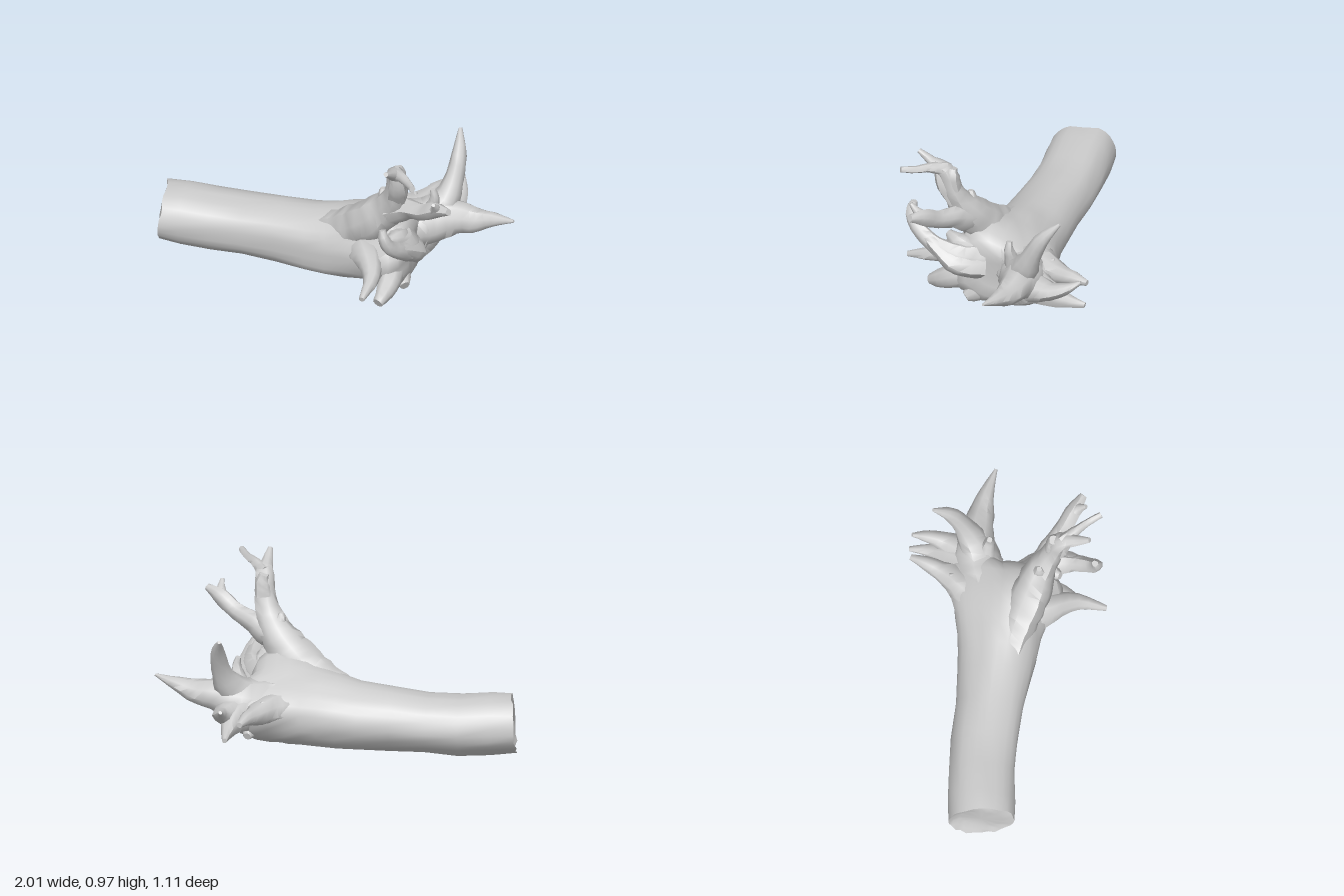
import * as THREE from 'three';
import { toCreasedNormals } from 'three/addons/utils/BufferGeometryUtils.js';

const material = new THREE.MeshStandardMaterial({ color: 0xcccccc });
const V = (x, y, z) => new THREE.Vector3(x, y, z);

// Small seeded noise in -1..1
function noise(seed) {
  let s = seed * 7919 + 17;
  return () => {
    s = (s * 16807) % 2147483647;
    return (s / 2147483647) * 2 - 1;
  };
}

// Skin over rings of points, closed at both ends with a centre point
function loft(name, rings, start, end) {
  const n = rings[0].length, pos = [], idx = [];
  rings.forEach(r => r.forEach(p => pos.push(p.x, p.y, p.z)));
  pos.push(start.x, start.y, start.z, end.x, end.y, end.z);
  const s = rings.length * n, last = s - n;
  for (let j = 0; j < n; j++) {
    const k = (j + 1) % n;
    for (let i = 0; i < rings.length - 1; i++) {
      const a = i * n + j, b = i * n + k;
      idx.push(a, b, a + n, b, b + n, a + n);
    }
    idx.push(s, k, j, s + 1, last + j, last + k);
  }
  const g = new THREE.BufferGeometry();
  g.setAttribute('position', new THREE.Float32BufferAttribute(pos, 3));
  g.setIndex(idx);
  const mesh = new THREE.Mesh(toCreasedNormals(g, 0.95), material);
  mesh.name = name;
  return mesh;
}

// Tapered, slightly gnarled root through points [x, y, z, radius]
function root(name, pts, seed) {
  const curve = new THREE.CatmullRomCurve3(pts.map(p => V(p[0], p[1], p[2])));
  const steps = (pts.length - 1) * 3, sides = 9;
  const frames = curve.computeFrenetFrames(steps, false);
  const rnd = noise(seed);
  const lobes = Array.from({ length: sides }, () => 1 + 0.1 * rnd());
  const rings = [];
  for (let i = 0; i <= steps; i++) {
    const u = i / steps, f = curve.getUtoTmapping(u) * (pts.length - 1);
    const k = Math.min(Math.floor(f), pts.length - 2);
    const r = THREE.MathUtils.lerp(pts[k][3], pts[k + 1][3], f - k);
    const c = curve.getPointAt(u);
    rings.push(lobes.map((l, j) => {
      const a = j / sides * Math.PI * 2, q = r * l * (1 + 0.06 * rnd());
      return c.clone().addScaledVector(frames.normals[i], Math.cos(a) * q)
        .addScaledVector(frames.binormals[i], Math.sin(a) * q);
    }));
  }
  return loft(name, rings, curve.getPointAt(0), curve.getPointAt(1));
}

// Swellings where roots leave the trunk: x, angle from up towards the front, amount, length, angular width
const flares = [
  [0.32, 0.5, 0.42, 0.2, 0.4], [0.3, 1.5, 0.2, 0.14, 0.4], [0.46, 1.2, 0.2, 0.1, 0.4],
  [0.4, 2.05, 0.24, 0.12, 0.35], [0.42, 2.65, 0.12, 0.08, 0.3], [0.5, -0.55, 0.15, 0.1, 0.45],
  [0.42, -1.4, 0.2, 0.16, 0.4], [0.05, 2.1, 0.09, 0.35, 0.28], [-0.5, -0.75, 0.05, 0.35, 0.25],
];

function trunk() {
  // Stations: x, bottom, top, back z, front z
  const stations = [
    [-0.96, 0.1, 0.3, -0.16, 0.08], [-0.967, 0.07, 0.335, -0.195, 0.115],
    [-0.975, 0.045, 0.36, -0.22, 0.14], [-0.85, 0.025, 0.365, -0.23, 0.14],
    [-0.68, 0.015, 0.35, -0.235, 0.125], [-0.5, 0.025, 0.35, -0.235, 0.13],
    [-0.3, 0.02, 0.37, -0.225, 0.145], [-0.12, 0.01, 0.385, -0.23, 0.175],
    [0, 0.01, 0.41, -0.235, 0.195], [0.1, 0.015, 0.43, -0.25, 0.205], [0.19, 0.025, 0.44, -0.265, 0.215],
    [0.27, 0.035, 0.45, -0.275, 0.225], [0.34, 0.045, 0.45, -0.28, 0.24], [0.4, 0.055, 0.44, -0.28, 0.24],
    [0.45, 0.075, 0.42, -0.27, 0.21], [0.48, 0.12, 0.38, -0.24, 0.15], [0.475, 0.18, 0.33, -0.18, 0.08],
  ];
  const sides = 28, rnd = noise(5);
  const rings = stations.map(([x, y0, y1, z0, z1], i) =>
    Array.from({ length: sides }, (_, j) => {
      const a = j / sides * Math.PI * 2;
      // Bark ridges along the trunk plus the root flares
      let swell = 1 + 0.025 * Math.sin(3 * a + x * 2) + 0.02 * Math.cos(5 * a - x * 3)
        + (x > 0.25 ? 0.05 : 0.018) * rnd();
      for (const [fx, fa, amount, length, width] of flares) {
        const da = Math.atan2(Math.sin(a - fa), Math.cos(a - fa));
        swell += amount * Math.exp(-(((x - fx) / length) ** 2) - (da / width) ** 2);
      }
      // Slanted, uneven cut at the sawn end; the back reaches further at the root end
      const cut = i < 3 ? (i / 2) * (0.012 * Math.cos(a) + 0.02 * Math.sin(a) + 0.008 * rnd()) : 0;
      const reach = Math.max(0, x - 0.3) * 0.55 * Math.max(0, -Math.sin(a));
      return V(x + cut + reach,
        Math.max(0, (y0 + y1) / 2 + Math.cos(a) * (y1 - y0) / 2 * swell),
        (z0 + z1) / 2 + Math.sin(a) * (z1 - z0) / 2 * swell);
    }));
  return loft('trunk', rings, V(-0.96, 0.2, -0.04), V(0.47, 0.25, -0.03));
}

export function createModel() {
  const group = new THREE.Group();
  group.name = 'fallenTreeTrunk';
  group.add(trunk());

  const roots = {
    // Tall root with its forks
    uprightRoot: [[-0.08, 0.27, 0.03, 0.08], [0.13, 0.36, 0.08, 0.11], [0.27, 0.46, 0.135, 0.12], [0.37, 0.58, 0.18, 0.094],
      [0.42, 0.68, 0.225, 0.068], [0.44, 0.78, 0.262, 0.055], [0.445, 0.87, 0.29, 0.052], [0.44, 0.915, 0.37, 0.03], [0.43, 0.965, 0.45, 0.014]],
    uprightRootStub: [[0.44, 0.77, 0.25, 0.05], [0.45, 0.85, 0.255, 0.042], [0.44, 0.895, 0.25, 0.025]],
    uprightRootRidge: [[0.43, 0.68, 0.24, 0.05], [0.45, 0.8, 0.3, 0.05], [0.45, 0.89, 0.325, 0.03]],
    uprightRootFork: [[0.44, 0.88, 0.3, 0.045], [0.5, 0.91, 0.37, 0.028], [0.55, 0.915, 0.43, 0.022], [0.595, 0.93, 0.5, 0.018]],
    uprightRootTwig: [[0.37, 0.6, 0.18, 0.05], [0.34, 0.66, 0.18, 0.035], [0.335, 0.7, 0.18, 0.014]],
    sideBranch: [[0.4, 0.57, 0.19, 0.08], [0.5, 0.62, 0.23, 0.058], [0.6, 0.65, 0.29, 0.046], [0.69, 0.71, 0.34, 0.045], [0.77, 0.74, 0.39, 0.02]],
    sideBranchFork: [[0.65, 0.68, 0.32, 0.035], [0.69, 0.73, 0.36, 0.03], [0.69, 0.785, 0.41, 0.01]],
    // Front roots
    hookedRoot: [[0.42, 0.32, 0.1, 0.1], [0.49, 0.36, 0.22, 0.075], [0.49, 0.42, 0.35, 0.048], [0.455, 0.5, 0.465, 0.04], [0.43, 0.57, 0.49, 0.033], [0.42, 0.62, 0.48, 0.018]],
    hookedRootEdge: [[0.44, 0.3, 0.1, 0.09], [0.53, 0.33, 0.2, 0.06], [0.52, 0.4, 0.31, 0.04], [0.48, 0.46, 0.4, 0.03]],
    frontSpike: [[0.18, 0.26, 0.1, 0.09], [0.27, 0.27, 0.24, 0.078], [0.33, 0.24, 0.38, 0.048], [0.32, 0.195, 0.55, 0.016]],
    lowerFrontRoot: [[0.34, 0.22, 0.1, 0.1], [0.4, 0.17, 0.24, 0.068], [0.39, 0.12, 0.34, 0.05], [0.37, 0.09, 0.4, 0.03]],
    frontKnot: [[0.26, 0.2, 0.15, 0.08], [0.31, 0.22, 0.27, 0.06], [0.32, 0.2, 0.33, 0.035]],
    frontStub: [[0.4, 0.34, 0.13, 0.08], [0.43, 0.41, 0.22, 0.055], [0.4, 0.44, 0.29, 0.02]],
    bottomStub: [[0.36, 0.16, 0.05, 0.1], [0.42, 0.11, 0.12, 0.065], [0.46, 0.08, 0.17, 0.03]],
    // Forward root at the far end
    forwardRoot: [[0.38, 0.28, -0.12, 0.14], [0.55, 0.32, -0.18, 0.125], [0.66, 0.345, -0.18, 0.092], [0.77, 0.355, -0.17, 0.07],
      [0.87, 0.385, -0.15, 0.042], [1, 0.42, -0.11, 0.008]],
    forwardTwig: [[0.5, 0.34, -0.13, 0.06], [0.54, 0.45, -0.12, 0.035], [0.55, 0.5, -0.11, 0.025], [0.54, 0.55, -0.11, 0.015]],
    // Back roots
    risingRoot: [[0.46, 0.3, -0.13, 0.11], [0.58, 0.41, -0.21, 0.085], [0.62, 0.53, -0.265, 0.054], [0.63, 0.67, -0.335, 0.042], [0.61, 0.77, -0.425, 0.01]],
    backRoot: [[0.2, 0.28, -0.12, 0.1], [0.35, 0.3, -0.24, 0.09], [0.43, 0.315, -0.38, 0.052], [0.46, 0.33, -0.46, 0.037], [0.485, 0.33, -0.54, 0.016]],
    lowerBackRoot: [[0.42, 0.26, -0.13, 0.13], [0.53, 0.27, -0.29, 0.085], [0.56, 0.25, -0.42, 0.045], [0.565, 0.24, -0.555, 0.014]],
    backRootFork: [[0.55, 0.28, -0.25, 0.09], [0.6, 0.31, -0.37, 0.05], [0.605, 0.35, -0.46, 0.032], [0.59, 0.4, -0.54, 0.01]],
    backTwig: [[0.42, 0.31, -0.2, 0.04], [0.39, 0.345, -0.27, 0.022], [0.38, 0.37, -0.32, 0.012]],
    lowBackStub: [[0.36, 0.2, -0.12, 0.1], [0.45, 0.18, -0.21, 0.06], [0.47, 0.155, -0.29, 0.022]],
  };
  Object.entries(roots).forEach(([name, pts], i) => group.add(root(name, pts, i + 3)));
  return group;
}
